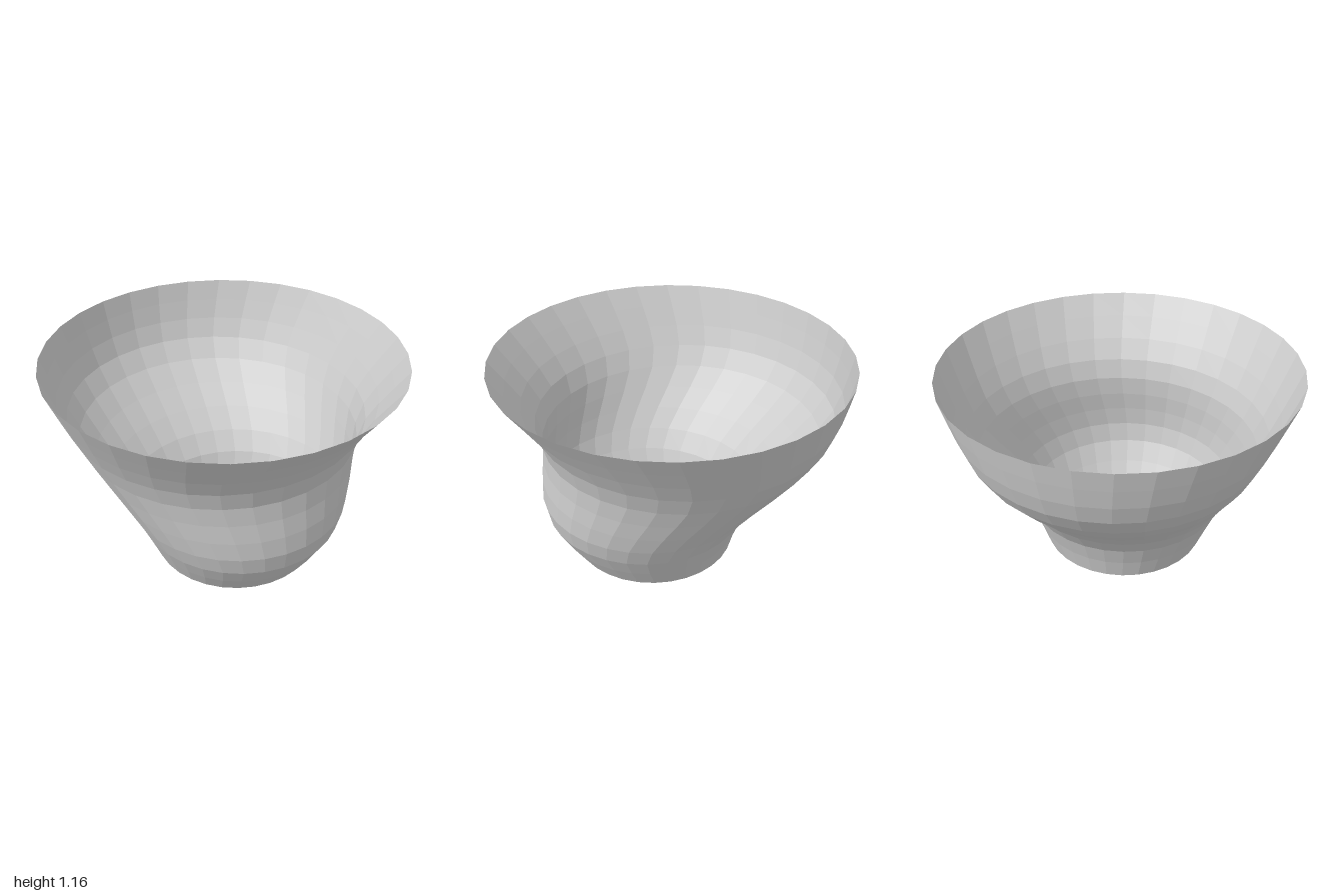
import * as THREE from 'three';

const HEIGHT = 1.165;
const BOTTOM_RADIUS = 0.47;
const TOP_RADIUS = 1;
const SIDES = 32;

// Forward/backward offset of each ring, from the bottom to the rim
const SWAY = [0.115, 0.14, 0.155, 0.127, 0.069, 0.002, -0.055, -0.076, -0.061, -0.032, 0];

export function createModel() {
  const group = new THREE.Group();
  group.name = 'swayingVessel';

  const grey = new THREE.MeshStandardMaterial({
    color: 0xcccccc,
    flatShading: true,
    side: THREE.DoubleSide,
  });
  grey.name = 'light grey';

  // Open tapered tube whose rings slide along z
  const rings = SWAY.length - 1;
  const geometry = new THREE.CylinderGeometry(TOP_RADIUS, BOTTOM_RADIUS, HEIGHT, SIDES, rings, true);
  geometry.translate(0, HEIGHT / 2, 0);
  const pos = geometry.attributes.position;
  for (let i = 0; i < pos.count; i++) {
    const ring = Math.round((pos.getY(i) / HEIGHT) * rings);
    pos.setZ(i, pos.getZ(i) + SWAY[ring]);
  }
  geometry.computeVertexNormals();

  const wall = new THREE.Mesh(geometry, grey);
  wall.name = 'vesselWall';
  group.add(wall);
  return group;
}
